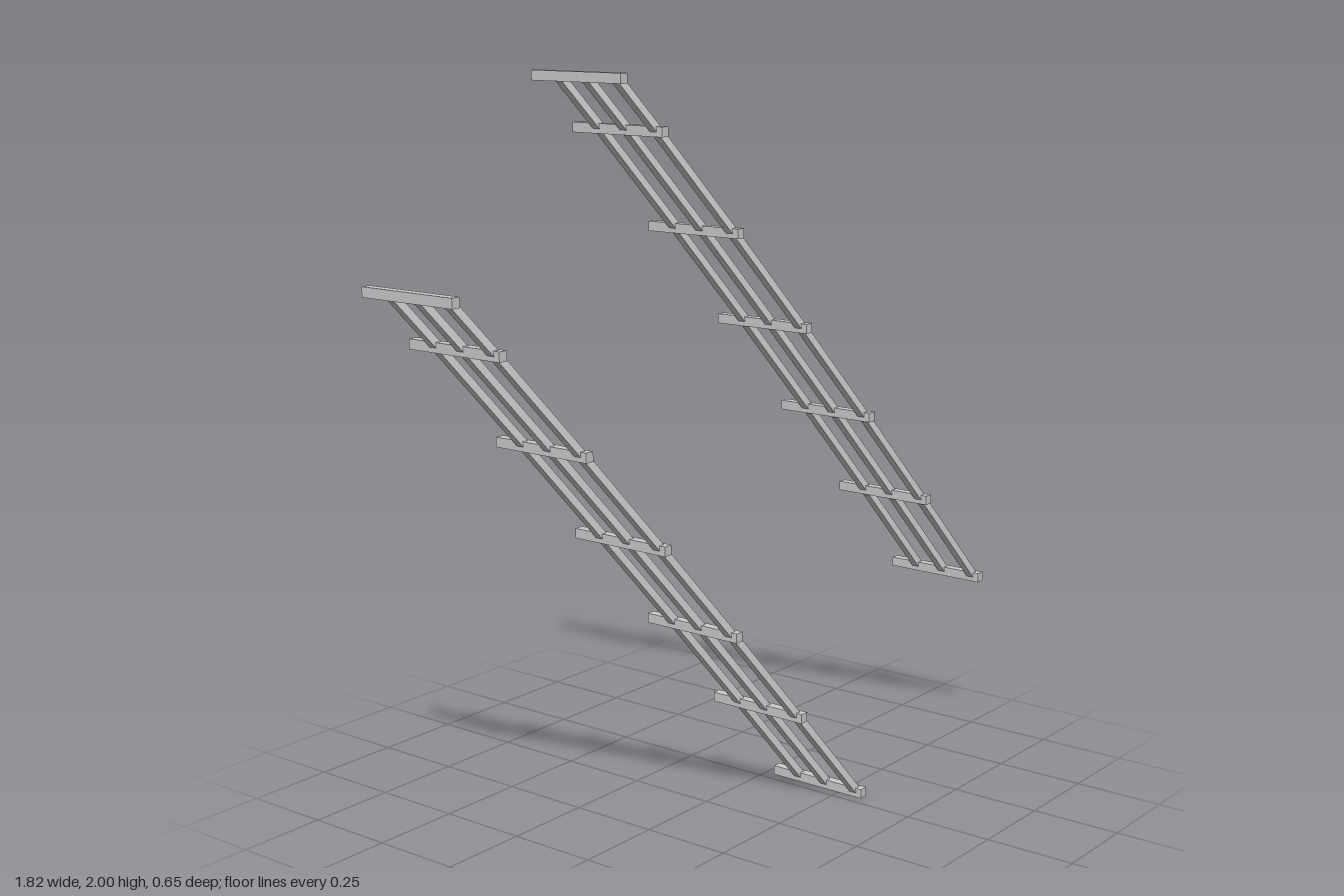
import * as THREE from 'three';

const material = new THREE.MeshStandardMaterial({ color: 0xcccccc, flatShading: true });

// Each strip runs down a sloping plane; rungs sit at these fractions of its length.
const RUN = new THREE.Vector3(1.192, -1.487, 0);
const LENGTH = RUN.length();
const FRACTIONS = [0, 0.5, 1.5, 2.5, 3.5, 4.5, 5.5].map((n) => n / 5.5);
const RUNG_Z = [-0.177, -0.135, -0.06, 0.008, 0.07, 0.126, 0.177];
const RAIL_OFFSETS = [0.123, 0.024, -0.066];
const RAIL_WIDTH = 0.022, RAIL_DEPTH = 0.021;
const RUNG_SIZE = 0.026, RUNG_LENGTH = 0.298;

// Bent rail: outline drawn in the sloping plane, extruded by the rail depth
function railGeometry(offset) {
  const side = (w) => FRACTIONS.map((f, i) => new THREE.Vector2(f * LENGTH, RUNG_Z[i] + offset + w));
  const outline = [...side(-RAIL_WIDTH / 2), ...side(RAIL_WIDTH / 2).reverse()];
  const geometry = new THREE.ExtrudeGeometry(new THREE.Shape(outline), { depth: RAIL_DEPTH, bevelEnabled: false });
  geometry.translate(0, 0, -RAIL_DEPTH / 2);
  const along = RUN.clone().normalize();
  const across = new THREE.Vector3(0, 0, 1);
  const normal = along.clone().cross(across);
  return geometry.applyMatrix4(new THREE.Matrix4().makeBasis(along, across, normal));
}

function makeStrip(name, x, y) {
  const strip = new THREE.Group();
  strip.name = name;
  strip.position.set(x, y, 0);

  // Long rails
  RAIL_OFFSETS.forEach((offset, i) => {
    const rail = new THREE.Mesh(railGeometry(offset), material);
    rail.name = `rail${i + 1}`;
    strip.add(rail);
  });

  // Crossbars
  const rungGeometry = new THREE.BoxGeometry(RUNG_SIZE, RUNG_SIZE, RUNG_LENGTH);
  FRACTIONS.forEach((f, i) => {
    const rung = new THREE.Mesh(rungGeometry, material);
    rung.name = `rung${i + 1}`;
    rung.position.copy(RUN).multiplyScalar(f);
    rung.position.z = RUNG_Z[i];
    strip.add(rung);
  });
  return strip;
}

export function createModel() {
  const model = new THREE.Group();
  model.name = 'ladderStrips';
  model.add(makeStrip('lowerStrip', -0.899, 1.503), makeStrip('upperStrip', -0.294, 1.988));
  return model;
}
